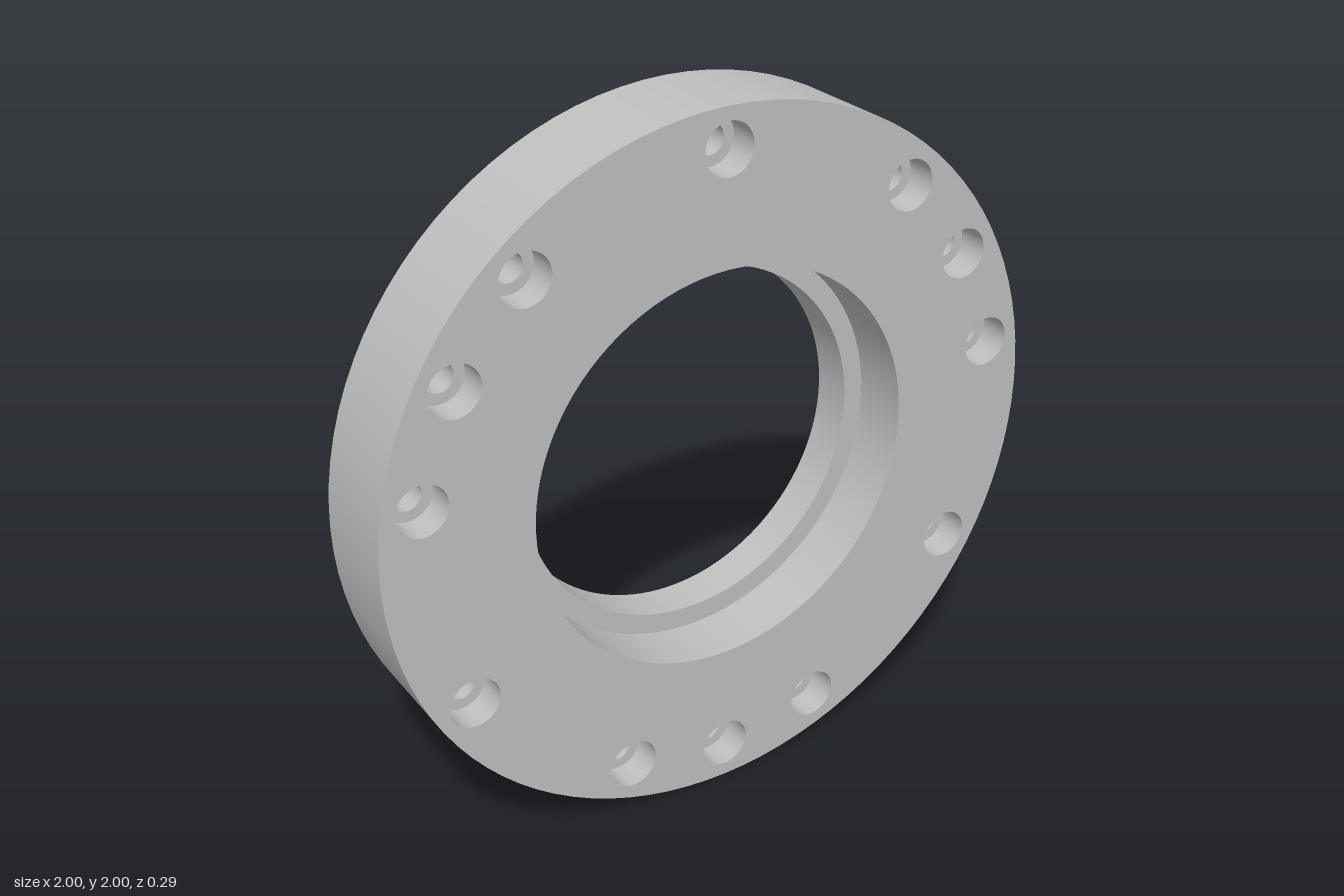
import * as THREE from 'three';
import { mergeGeometries } from 'three/addons/utils/BufferGeometryUtils.js';

const HALF = 0.146;            // half thickness
const OUTER = 1;
const BORE = 0.515, RECESS = 0.575, RECESS_Z = HALF - 0.171;
const HOLE = 0.042, SINK = 0.072, SINK_Z = HALF - 0.09;
const BOLT_CIRCLE = 0.89;
const BOLT_ANGLES = [90, 50, 30, 10, -30, -70, -90, -110, -150, 170, 150, 130];
const SEGMENTS = 96;

const boltCentres = BOLT_ANGLES.map((deg) => {
  const a = THREE.MathUtils.degToRad(deg);
  return [BOLT_CIRCLE * Math.cos(a), BOLT_CIRCLE * Math.sin(a)];
});

// Sharp-edged surface of revolution about z from [radius, z] points
function turned(profile) {
  const parts = [];
  for (let i = 0; i < profile.length - 1; i++) {
    const pair = [profile[i], profile[i + 1]].map(([r, z]) => new THREE.Vector2(r, z));
    parts.push(new THREE.LatheGeometry(pair, SEGMENTS));
  }
  return mergeGeometries(parts).rotateX(Math.PI / 2);
}

// Flat disc face pierced by the bore and the bolt holes
function face(boreRadius, holeRadius) {
  const shape = new THREE.Shape().absarc(0, 0, OUTER, 0, Math.PI * 2);
  const pierce = (x, y, r) =>
    shape.holes.push(new THREE.Path().absarc(x, y, r, 0, Math.PI * 2, true));
  pierce(0, 0, boreRadius);
  boltCentres.forEach(([x, y]) => pierce(x, y, holeRadius));
  return new THREE.ShapeGeometry(shape, SEGMENTS / 2).translate(0, 0, HALF);
}

export function createModel() {
  const steel = new THREE.MeshStandardMaterial({ color: 0xbfbfbf });
  steel.name = 'light grey metal';

  const group = new THREE.Group();
  group.name = 'flangeRing';
  const add = (name, geometry, x = 0, y = 0) => {
    const mesh = new THREE.Mesh(geometry, steel);
    mesh.name = name;
    mesh.position.set(x, y + OUTER, 0);
    group.add(mesh);
  };

  // Ring body
  add('frontFace', face(RECESS, SINK));
  add('backFace', face(BORE, HOLE).rotateY(Math.PI));
  add('outerRim', turned([[OUTER, -HALF], [OUTER, HALF]]));
  add('steppedBore', turned([[RECESS, HALF], [RECESS, RECESS_Z], [BORE, RECESS_Z], [BORE, -HALF]]));

  // Counterbored bolt holes
  const bolt = turned([[SINK, HALF], [SINK, SINK_Z], [HOLE, SINK_Z], [HOLE, -HALF]]);
  boltCentres.forEach(([x, y], i) => add(`boltHole${i + 1}`, bolt, x, y));

  return group;
}
